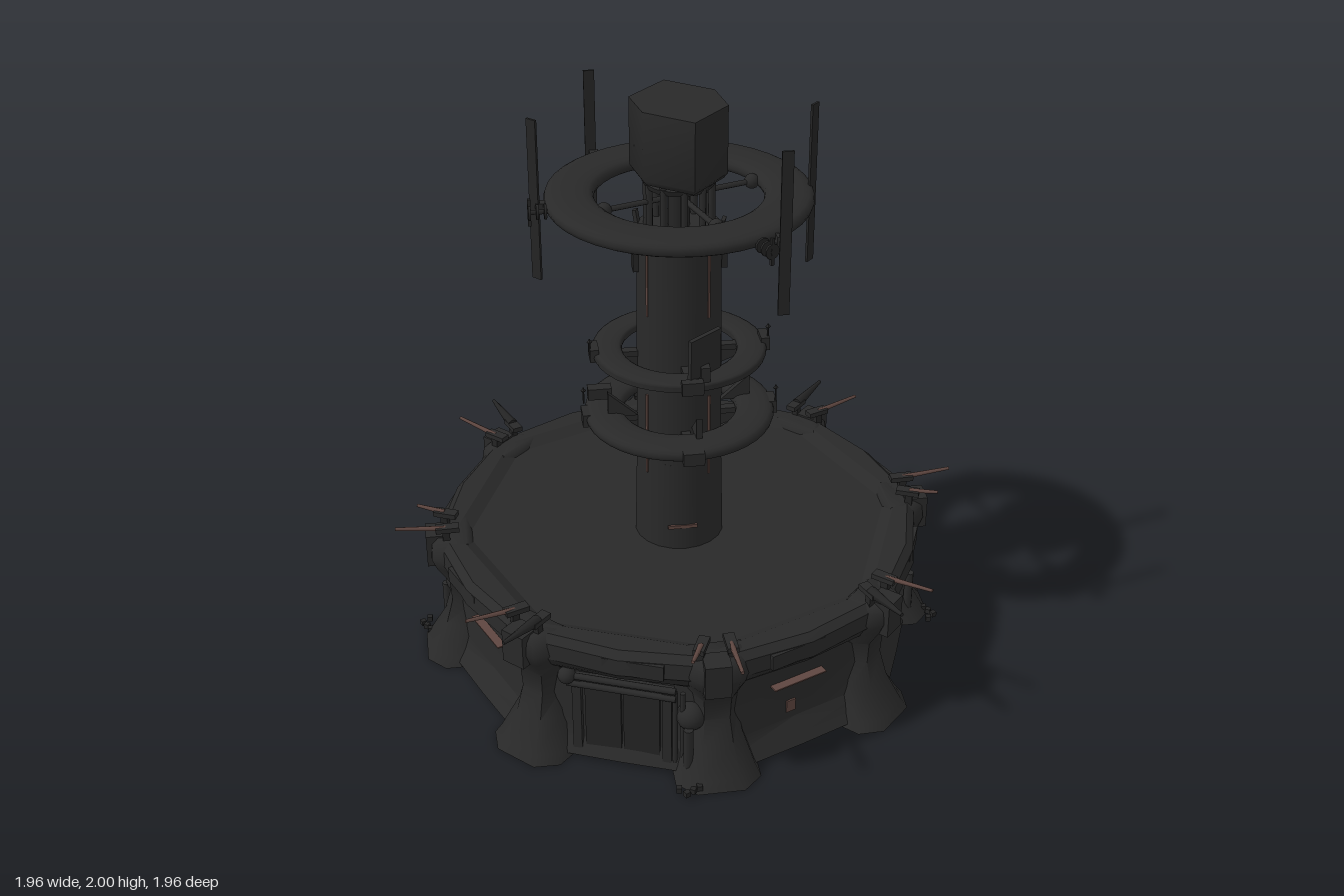
import * as THREE from 'three';
import { toCreasedNormals } from 'three/addons/utils/BufferGeometryUtils.js';

const mat = (name, color, side = THREE.FrontSide) => {
  const m = new THREE.MeshStandardMaterial({ color, side });
  m.name = name;
  return m;
};

export function createModel() {
  const hull = mat('charcoal hull', 0x292929, THREE.DoubleSide);
  const dark = mat('dark metal', 0x242424);
  const rust = mat('rusty brown', 0x5e4640);
  const model = new THREE.Group();
  model.name = 'fortressTower';

  const add = (parent, name, geo, material, x = 0, y = 0, z = 0, rx = 0, ry = 0, rz = 0) => {
    const m = new THREE.Mesh(geo, material);
    m.name = name;
    m.position.set(x, y, z);
    m.rotation.set(rx, ry, rz);
    parent.add(m);
    return m;
  };
  const box = (w, h, d) => new THREE.BoxGeometry(w, h, d);
  const cyl = (r0, r1, h, n = 8) => new THREE.CylinderGeometry(r0, r1, h, n);
  const lathe = (pts, n, crease) =>
    toCreasedNormals(new THREE.LatheGeometry(pts.map(p => new THREE.Vector2(...p)), n), crease);
  // group whose local +z points outwards at an angle measured from the front
  const sector = (name, angle, parent = model) => {
    const g = new THREE.Group();
    g.name = name;
    g.rotation.y = angle;
    parent.add(g);
    return g;
  };

  // skin a stack of equal-sized cross-sections
  const loft = (rings, crease = 0.7, capped = true) => {
    const n = rings[0].length, idx = [];
    for (let k = 0; k < rings.length - 1; k++)
      for (let i = 0; i < n; i++) {
        const j = (i + 1) % n, a = k * n + i, b = k * n + j;
        idx.push(a, b, b + n, a, b + n, a + n);
      }
    const top = (rings.length - 1) * n;
    if (capped) for (let i = 1; i < n - 1; i++) idx.push(0, i + 1, i, top, top + i, top + i + 1);
    const g = new THREE.BufferGeometry();
    g.setAttribute('position', new THREE.Float32BufferAttribute(rings.flat(2), 3));
    g.setIndex(idx);
    return toCreasedNormals(g, crease);
  };

  // eight-cornered base from rings of [height, corner radius, mid-side radius], open underneath
  const octagon = (rings, crease) => loft(rings.map(([y, corner, mid]) =>
    Array.from({ length: 16 }, (_, i) => {
      const r = i % 2 ? mid : corner, t = i * Math.PI / 8;
      return [Math.sin(t) * r, y, Math.cos(t) * r];
    })), crease, false);
  add(model, 'baseWall', octagon([[0.015, 0.85, 0.79], [0.04, 0.83, 0.775], [0.1, 0.8, 0.739],
    [0.34, 0.79, 0.73]], 0.5), hull);
  add(model, 'baseRim', octagon([[0.34, 0.79, 0.73], [0.36, 0.83, 0.79], [0.4, 0.85, 0.825],
    [0.455, 0.845, 0.82], [0.478, 0.82, 0.795], [0.478, 0.78, 0.72], [0.455, 0.735, 0.679]], 0.35), hull);
  add(model, 'dishedDeck', octagon([[0.455, 0.735, 0.679], [0.43, 0.14, 0.14]], 0.5), hull);

  // buttresses at the corners: [height, inner radius, outer radius, half width]
  const levels = [[0, 0.74, 0.905, 0.14], [0.03, 0.74, 0.885, 0.125], [0.13, 0.73, 0.83, 0.09],
    [0.22, 0.72, 0.805, 0.075], [0.3, 0.72, 0.81, 0.08], [0.37, 0.72, 0.85, 0.105],
    [0.41, 0.72, 0.865, 0.11], [0.455, 0.72, 0.86, 0.1], [0.478, 0.74, 0.84, 0.08]];
  const buttress = loft(levels.map(([y, a, b, w]) => [
    [-w, y, a], [-w, y, b - 0.06], [-w * 0.55, y, b], [w * 0.55, y, b], [w, y, b - 0.06], [w, y, a]]), 1);

  for (let i = 0; i < 8; i++) {
    const s = sector('corner' + i, i * Math.PI / 4);
    add(s, 'buttress', buttress, hull);
    add(s, 'headBlock', box(0.085, 0.12, 0.08), hull, -0.01, 0.425, 0.84);
    // pair of splayed guns; each diagonal corner has one broad dark barrel
    const broad = i % 2 ? (i % 4 === 3 ? 0 : 1) : -1;
    [[0.04, 0.17, 0.03], [-0.055, i % 2 ? 0.17 : 0.1, -0.42]].forEach(([x, len, turn], k) => {
      const gun = sector('gun', turn, s);
      gun.position.set(x, 0.51, 0.81);
      add(gun, 'gunPost', box(0.022, 0.06, 0.025), dark, 0, -0.025, 0);
      add(gun, 'gunBody', box(0.036, 0.018, 0.08), hull, 0, 0.01, -0.005);
      add(gun, 'barrel', cyl(0.006, k === broad ? 0.02 : 0.01, len, 6), k === broad ? dark : rust,
        0, 0.02, len * 0.5, Math.PI / 2 - 0.1);
    });
    if (i % 2 === 0) {
      // valve ball and loose stones by the foot
      add(s, 'valveBall', new THREE.SphereGeometry(0.048, 16, 12), hull, -0.08, 0.22, 0.775);
      add(s, 'valvePipe', cyl(0.016, 0.016, 0.18), hull, -0.095, 0.11, 0.82);
      for (let k = 0; k < 4; k++)
        add(s, 'looseStone', box(0.018, 0.018, 0.018), dark,
          -0.07 - 0.022 * k, 0.02, 0.89 + 0.012 * (k % 3), 0, k, 0);
    }
  }

  // wall bays between the buttresses
  for (let i = 0; i < 8; i++) {
    const s = sector('wallBay' + i, (i + 0.5) * Math.PI / 4);
    add(s, 'rimPlate', box(0.2, 0.055, 0.03), hull, i % 2 ? 0.05 : -0.05, 0.425, 0.802);
    add(s, 'rimCable', cyl(0.01, 0.01, 0.46, 6), dark, 0, 0.345, 0.745, 0, 0, Math.PI / 2);
    if (i === 7 || i === 3) {
      // doorway with frame, double leaf and pipework
      add(s, 'doorFrame', box(0.3, 0.3, 0.06), hull, 0, 0.165, 0.725);
      for (const x of [-0.064, 0.064])
        add(s, 'doorLeaf', box(0.12, 0.26, 0.02), dark, x, 0.15, 0.757);
      for (const x of [-0.15, 0.15])
        add(s, 'doorPost', box(0.03, 0.3, 0.08), hull, x, 0.165, 0.735);
      for (const y of [0.3, 0.33])
        add(s, 'pipe', cyl(0.011, 0.011, 0.36), hull, 0, y, 0.775, 0, 0, Math.PI / 2);
      add(s, 'pipeBall', new THREE.SphereGeometry(0.03, 12, 10), hull, -0.18, 0.33, 0.775);
      for (const x of [0.175, 0.2])
        add(s, 'downPipe', cyl(0.009, 0.009, 0.3), hull, x, 0.17, 0.765);
    } else {
      // thin ledge, deeper and rusty on every second bay
      add(s, 'wallLedge', box(i % 2 ? 0.3 : 0.2, 0.005, i % 2 ? 0.008 : 0.03), rust, 0, 0.258, i % 2 ? 0.738 : 0.75);
      if (i % 4 === 0) add(s, 'rustPatch', box(0.035, 0.045, 0.008), rust, -0.02, 0.15, 0.738);
    }
  }

  // tower shaft
  add(model, 'towerFoot', cyl(0.145, 0.153, 0.34, 20), hull, 0, 0.59, 0);
  add(model, 'towerShaft', cyl(0.138, 0.145, 0.84, 20), hull, 0, 1.16, 0);
  for (let i = 0; i < 4; i++) {
    const s = sector('shaftDetail' + i, i * Math.PI / 2 + 0.6);
    add(s, 'cable', box(0.008, 0.22, 0.008), rust, 0, 1.41, 0.139);
    add(s, 'cable', box(0.008, 0.3, 0.008), rust, 0, 0.86, 0.145);
    add(s, 'topFin', box(0.03, 0.06, 0.012), hull, 0.08, 1.59, 0.115, 0.25, 0.6);
    if (i % 2 === 0) add(s, 'sidePlate', box(0.06, 0.11, 0.02), dark, 0.115, 1.49, 0.085, 0, 0.95);
  }
  add(sector('rustPanel', Math.PI * 1.25), 'rustPanel', box(0.024, 0.13, 0.008), rust, 0, 1.36, 0.139);
  add(model, 'footStain', box(0.1, 0.012, 0.008), rust, -0.01, 0.52, 0.149);

  // open neck of thin columns
  add(model, 'neckCore', cyl(0.035, 0.035, 0.2), dark, 0, 1.67, 0);
  for (let i = 0; i < 10; i++) {
    const s = sector('neck' + i, i * Math.PI / 5);
    add(s, 'neckColumn', cyl(0.012, 0.012, 0.2, 6), hull, 0, 1.67, 0.105);
  }
  add(model, 'neckCollar', cyl(0.12, 0.11, 0.02, 16), hull, 0, 1.735, 0);

  // six-sided head, longer from front to back
  const hex = [[0.02, 0.19], [0.145, 0.06], [0.125, -0.08], [-0.02, -0.19], [-0.15, -0.06], [-0.125, 0.08]];
  add(model, 'head', loft([[1.758, 0.92], [1.775, 1], [2, 1]].map(([y, k]) =>
    hex.map(([x, z]) => [x * k, y, z * k])), 1.2), hull);

  // flattened rings: height, inner radius, outer radius, half thickness
  const ring = (name, y, a, b, h) => {
    const pts = [];
    for (let k = 0; k <= 16; k++) {
      const t = k / 16 * Math.PI * 2, c = Math.cos(t), s = Math.sin(t);
      const soften = v => Math.sign(v) * Math.abs(v) ** 0.7;
      pts.push([(a + b) / 2 + soften(c) * (b - a) / 2, soften(s) * h]);
    }
    add(model, name, lathe(pts, 40, 2), hull, 0, y, 0);
  };
  ring('topRing', 1.685, 0.27, 0.43, 0.027);
  ring('upperRing', 1.135, 0.19, 0.29, 0.017);
  ring('lowerRing', 0.9, 0.19, 0.32, 0.025);

  // spokes of the top ring
  for (let i = 0; i < 4; i++) {
    const s = sector('spoke' + i, i * Math.PI / 2 + 0.3);
    add(s, 'spokeRod', cyl(0.01, 0.01, 0.25, 6), hull, 0, 1.683, 0.17, Math.PI / 2);
    add(s, 'spokeJoint', new THREE.SphereGeometry(0.025, 12, 8), hull, 0, 1.683, 0.26);
  }

  // triangular brackets and clamps of the two lower rings
  const tri = (w, h) => {
    const s = new THREE.Shape([[0, 0], [w, 0], [0, h]].map(p => new THREE.Vector2(...p)));
    return new THREE.ExtrudeGeometry(s, { depth: 0.02, bevelEnabled: false }).translate(0, 0, -0.01);
  };
  const under = tri(0.15, -0.06), over = tri(-0.1, 0.09);
  for (let i = 0; i < 4; i++) {
    const s = sector('bracket' + i, i * Math.PI / 2);
    for (const [y, r] of [[1.13, 0.29], [0.885, 0.32]]) {
      add(s, 'underBracket', under, hull, 0, y, 0.13, 0, -Math.PI / 2);
      add(s, 'ringClamp', box(0.07, 0.045, 0.03), hull, 0, y + 0.012, r - 0.005);
      add(s, 'ringStrut', box(0.03, 0.02, 0.12), hull, 0, y, 0.18);
    }
    add(s, 'upperFin', over, hull, 0.03, 0.91, 0.245, 0, -Math.PI / 2);
  }
  add(model, 'finPlate', box(0.08, 0.04, 0.04), hull, -0.265, 0.965, -0.04);

  // tilted shield plates at the front and back of the upper ring
  for (const a of [0, Math.PI]) {
    const s = sector('shield', a);
    add(s, 'shieldPlate', box(0.13, 0.15, 0.015), hull, a ? -0.045 : 0.045, 1.235, 0.24, 0.08, 0.6);
    add(s, 'shieldFoot', box(0.03, 0.06, 0.06), hull, a ? -0.045 : 0.045, 1.17, 0.24);
  }

  // small masts on the lower rings
  for (const [x, y, z] of [[-0.3, 1.17, 0.02], [0.295, 1.18, 0.02], [0.325, 0.95, 0.03], [-0.32, 0.96, -0.03]]) {
    add(model, 'mast', cyl(0.003, 0.003, 0.06, 5), dark, x, y, z);
    add(model, 'mastTip', new THREE.OctahedronGeometry(0.01), dark, x, y + 0.02, z);
  }

  // tall blade antennas around the top ring: x, z, turn
  for (const [x, z, turn] of [[-0.46, 0.02, -Math.PI / 4], [0.425, 0.02, Math.PI / 4],
    [-0.24, -0.38, 0], [0.265, 0.385, 0]]) {
    add(model, 'antenna', box(0.036, 0.54, 0.008), dark, x, 1.705, z, 0, turn);
    add(model, 'antennaMount', box(0.03, 0.03, 0.03), hull, x * 0.96, 1.683, z * 0.96);
  }

  // spool-shaped sensors clamped to the top ring
  for (const [x, z, a] of [[-0.45, 0.06, -Math.PI / 2], [0.2, 0.42, 0.4]]) {
    const s = sector('sensor', a);
    s.position.set(x, 1.683, z);
    add(s, 'sensorAxle', cyl(0.008, 0.008, 0.07), dark, 0, 0, 0, Math.PI / 2);
    for (const d of [-0.02, 0.005, 0.03])
      add(s, 'sensorDisc', cyl(0.025, 0.025, 0.008, 10), dark, 0, 0, d, Math.PI / 2);
    add(s, 'sensorBar', box(0.01, 0.09, 0.01), dark, 0, 0, 0.03);
  }
  return model;
}
